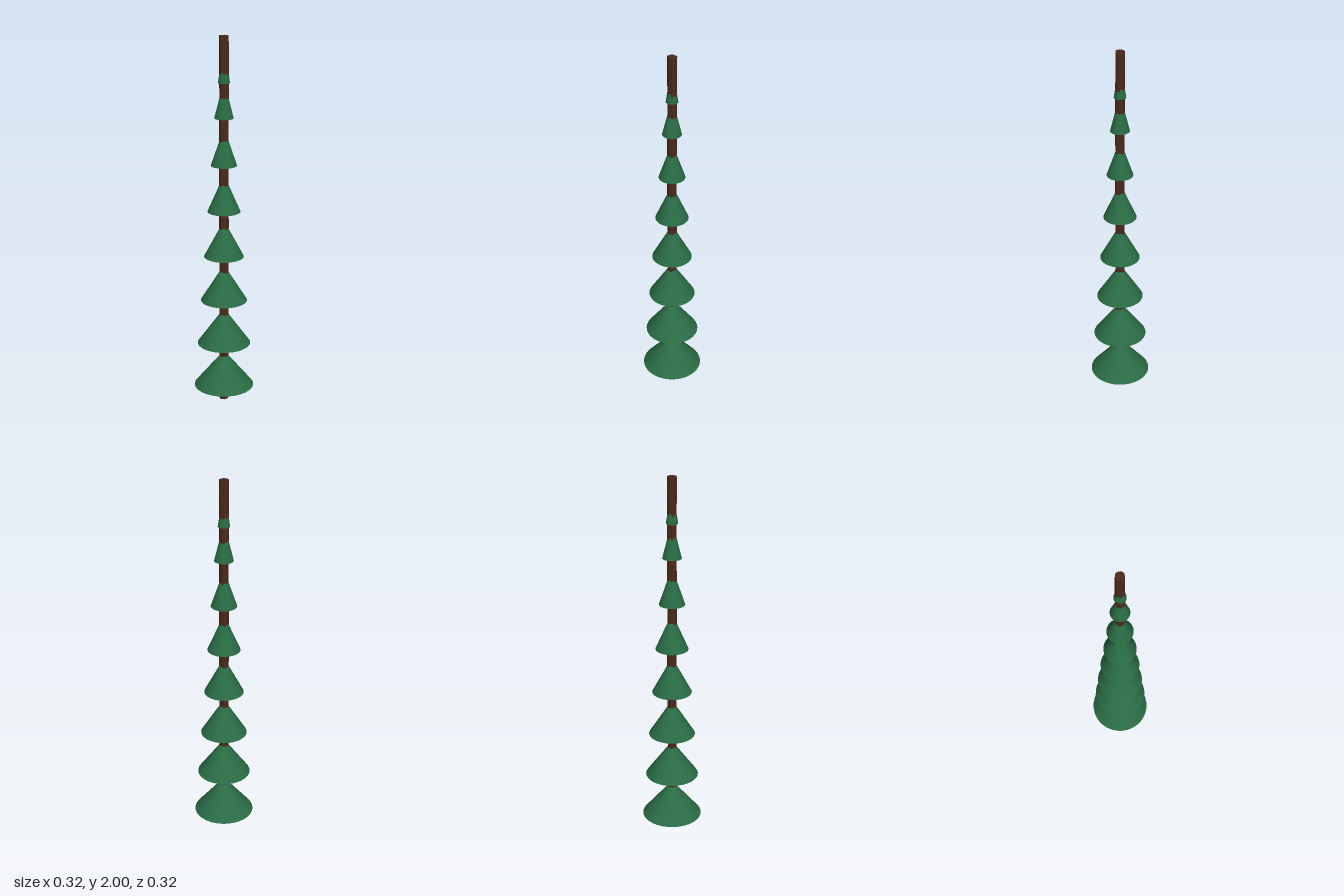
import * as THREE from 'three';

const SIDES = 20;
const bark = new THREE.MeshStandardMaterial({ color: 0x4a2a1c, flatShading: true });
const needles = new THREE.MeshStandardMaterial({ color: 0x2a6b45 });

// Repeatable noise in 0..1 for a ring and side of the trunk
function noise(ring, side) {
  const s = Math.sin(ring * 127.1 + side * 311.7) * 43758.5453;
  return s - Math.floor(s);
}

// Tall pole with rough, ridged bark
function createTrunk() {
  const rings = 10;
  const geometry = new THREE.CylinderGeometry(1, 1, 2, SIDES, rings).translate(0, 1, 0);
  const p = geometry.attributes.position;
  for (let i = 0; i < p.count; i++) {
    const x = p.getX(i), z = p.getZ(i);
    if (Math.hypot(x, z) < 0.5) continue; // cap centres stay put
    const side = (Math.round(Math.atan2(x, z) / (2 * Math.PI) * SIDES) + SIDES) % SIDES;
    const ring = Math.round(p.getY(i) / 2 * rings);
    const r = 0.0215 + 0.005 * noise(ring, side);
    p.setXYZ(i, x * r, p.getY(i), z * r);
  }
  geometry.computeVertexNormals();
  const trunk = new THREE.Mesh(geometry, bark);
  trunk.name = 'trunk';
  return trunk;
}

export function createModel() {
  const tree = new THREE.Group();
  tree.name = 'tree';
  tree.add(createTrunk());

  // Eight tiers of foliage, equal in height and narrowing upwards
  const height = 0.2;
  for (let i = 0; i < 8; i++) {
    const radius = 0.162 - 0.0187 * i;
    const base = Math.min(0.085 + 0.249 * i, 1.76);
    const tier = new THREE.Mesh(new THREE.ConeGeometry(radius, height, 32), needles);
    tier.name = `foliageTier${i + 1}`;
    tier.position.y = base + height / 2;
    tree.add(tier);
  }
  return tree;
}
